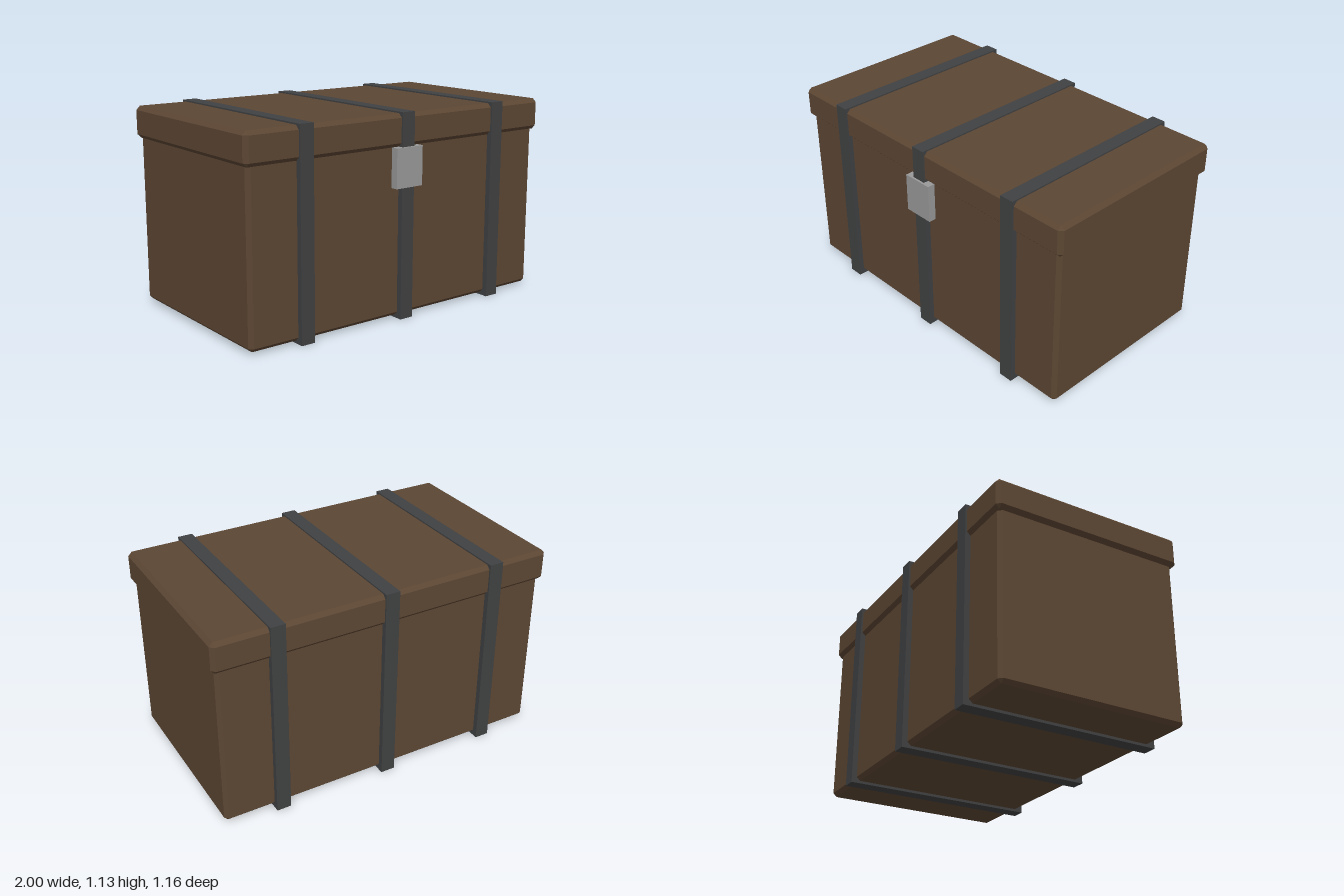
import * as THREE from 'three';
import { ConvexGeometry } from 'three/addons/geometries/ConvexGeometry.js';

// Box with every edge bevelled by c
function chamferBox(w, h, d, c) {
  const pts = [];
  for (const sx of [-1, 1]) for (const sy of [-1, 1]) for (const sz of [-1, 1]) {
    const half = [w / 2, h / 2, d / 2], s = [sx, sy, sz];
    // each corner becomes three points, one on each face
    for (let face = 0; face < 3; face++) {
      pts.push(new THREE.Vector3(...half.map((v, i) => s[i] * (i === face ? v : v - c))));
    }
  }
  return new ConvexGeometry(pts);
}

export function createModel() {
  const wood = new THREE.MeshStandardMaterial({ color: 0x5c4633 });
  wood.name = 'brown wood';
  const iron = new THREE.MeshStandardMaterial({ color: 0x404142 });
  iron.name = 'dark iron';
  const steel = new THREE.MeshStandardMaterial({ color: 0x999999 });
  steel.name = 'light steel';

  const chest = new THREE.Group();
  chest.name = 'chest';
  const add = (name, geometry, material, x, y, z) => {
    const mesh = new THREE.Mesh(geometry, material);
    mesh.name = name;
    mesh.position.set(x, y, z);
    chest.add(mesh);
  };
  const zMid = -0.006;

  // Body reaches up inside the lid
  add('body', chamferBox(1.956, 1.015, 1.09, 0.021), wood, 0, 0.5225, zMid);
  // Overhanging lid
  add('lid', chamferBox(2, 0.177, 1.132, 0.022), wood, 0, 1.0335, zMid);

  // Straps wrapping the whole chest
  const strap = new THREE.BoxGeometry(0.082, 1.13, 1.152);
  [['rightStrap', -0.652], ['middleStrap', 0], ['leftStrap', 0.652]]
    .forEach(([name, x]) => add(name, strap, iron, x, 0.565, zMid));

  // Latch plate
  add('latch', new THREE.BoxGeometry(0.176, 0.216, 0.047), steel, 0, 0.838, 0.5585);

  return chest;
}
